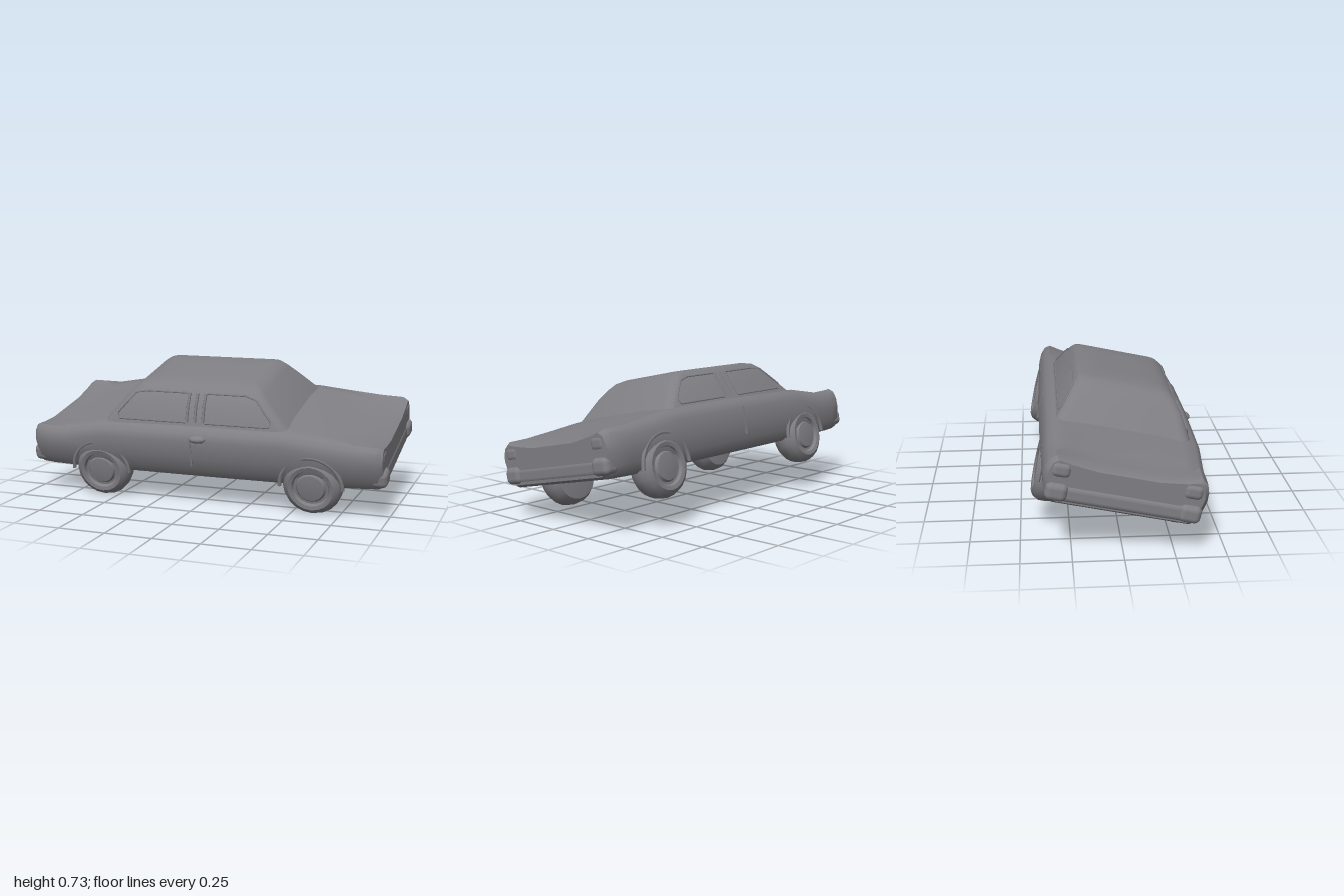
import * as THREE from 'three';
import { toCreasedNormals } from 'three/addons/utils/BufferGeometryUtils.js';
import { RoundedBoxGeometry } from 'three/addons/geometries/RoundedBoxGeometry.js';

const grey = new THREE.MeshStandardMaterial({ color: 0x7f7e83 });
grey.name = 'body grey';

function add(parent, name, geometry, x = 0, y = 0, z = 0) {
  const mesh = new THREE.Mesh(geometry, grey);
  mesh.name = name;
  mesh.position.set(x, y, z);
  parent.add(mesh);
  return mesh;
}

// Skin a list of equal-length closed rings and cap both ends.
function loft(rings, crease) {
  const n = rings[0].length;
  const pos = rings.flat(2);
  const idx = [];
  for (let i = 0; i < rings.length - 1; i++) {
    for (let j = 0; j < n; j++) {
      const a = i * n + j, b = i * n + (j + 1) % n;
      idx.push(a, b, b + n, a, b + n, a + n);
    }
  }
  [0, rings.length - 1].forEach((r, end) => {
    const ring = rings[r];
    const c = pos.length / 3;
    for (let k = 0; k < 3; k++) pos.push(ring.reduce((s, p) => s + p[k], 0) / n);
    for (let j = 0; j < n; j++) {
      const a = r * n + j, b = r * n + (j + 1) % n;
      if (end) idx.push(a, b, c); else idx.push(b, a, c);
    }
  });
  const g = new THREE.BufferGeometry();
  g.setAttribute('position', new THREE.Float32BufferAttribute(pos, 3));
  g.setIndex(idx);
  return toCreasedNormals(g, crease);
}

// Lower body: [x, bottom, deck edge height, dip of the deck centre, half width]
function bodyGeometry() {
  const stations = [
    [-0.972, 0.02, 0.228, 0.03, 0.38], [-0.95, 0.006, 0.243, 0.035, 0.398],
    [-0.88, 0.002, 0.24, 0.025, 0.403], [-0.78, 0, 0.238, 0.01, 0.405],
    [-0.55, 0, 0.277, -0.008, 0.41], [0, 0, 0.285, 0, 0.414],
    [0.47, 0, 0.283, -0.012, 0.41], [0.65, 0, 0.264, -0.003, 0.407],
    [0.83, 0.002, 0.247, 0.018, 0.404], [0.95, 0.006, 0.243, 0.035, 0.398],
    [0.978, 0.02, 0.23, 0.035, 0.382],
  ];
  return loft(stations.map(([x, b, t, dip, w]) => {
    const half = [
      [0.5 * w, b], [0.84 * w, b], [0.91 * w, b + 0.015], [0.96 * w, b + 0.06],
      [w, b + 0.13], [0.995 * w, t - 0.06], [0.96 * w, t - 0.02], [0.89 * w, t],
      [0.72 * w, t - dip * 0.4], [0.4 * w, t - dip * 0.9],
    ];
    const ring = [...half, ...half.slice().reverse().map(([z, y]) => [-z, y])];
    return ring.map(([z, y]) => [x, y, z]).reverse();
  }), 0.7);
}

// Cabin levels upward: [y, rear x, front x, half width, sideways offset]
const cabinLevels = [
  [0.22, -0.61, 0.53, 0.367, -0.003], [0.285, -0.55, 0.478, 0.346, -0.005],
  [0.385, -0.46, 0.38, 0.3, -0.009], [0.435, -0.41, 0.327, 0.268, -0.019],
  [0.46, -0.375, 0.298, 0.242, -0.028], [0.472, -0.32, 0.25, 0.205, -0.032],
  [0.475, -0.2, 0.15, 0.1, -0.03],
];

function cabinGeometry() {
  const r = 0.05;
  return loft(cabinLevels.map(([y, x0, x1, w, off]) => {
    const ring = [];
    const corners = [[x1 - r, w - r], [x0 + r, w - r], [x0 + r, r - w], [x1 - r, r - w]];
    corners.forEach(([cx, cz], q) => {
      for (let k = 0; k <= 3; k++) {
        const a = (q + k / 3) * Math.PI / 2;
        ring.push([cx + r * Math.cos(a), y, off + cz + r * Math.sin(a)]);
      }
    });
    return ring.reverse();
  }), 0.6);
}

// Point on the cabin side at a given x and height.
function sidePoint(x, y, side) {
  const i = cabinLevels.findIndex((l) => l[0] >= y);
  const a = cabinLevels[i - 1], b = cabinLevels[i];
  const t = (y - a[0]) / (b[0] - a[0]);
  const at = (k) => THREE.MathUtils.lerp(a[k], b[k], t);
  return new THREE.Vector3(x, y, at(4) + side * at(3));
}

// Thin bead following the cabin side through [x, y] points.
function addBead(car, name, points, side, radius) {
  const path = new THREE.CurvePath();
  for (let i = 1; i < points.length; i++) {
    path.add(new THREE.LineCurve3(sidePoint(...points[i - 1], side), sidePoint(...points[i], side)));
  }
  add(car, name, new THREE.TubeGeometry(path, 12, radius, 6));
}

// Tyre with a recessed rim and a domed hub.
function wheelGeometry() {
  const profile = [
    [0, -0.072], [0.1, -0.072], [0.128, -0.068], [0.15, -0.04], [0.158, -0.005],
    [0.157, 0.03], [0.142, 0.06], [0.12, 0.074], [0.1, 0.07], [0.092, 0.054],
    [0.08, 0.054], [0.07, 0.066], [0.04, 0.07], [0, 0.07],
  ].map(([r, y]) => new THREE.Vector2(r, y));
  return toCreasedNormals(new THREE.LatheGeometry(profile, 20).rotateX(Math.PI / 2), 0.6);
}

export function createModel() {
  const model = new THREE.Group();
  model.name = 'saloonCar';
  const car = new THREE.Group();
  car.name = 'leaningCar';
  model.add(car);

  add(car, 'lowerBody', bodyGeometry());
  add(car, 'cabin', cabinGeometry());

  // Bumpers and corner lamps at both ends
  for (const end of [-1, 1]) {
    add(car, 'bumper', new RoundedBoxGeometry(0.08, 0.09, 0.72, 3, 0.03), end * 0.942, 0.065, 0);
    for (const side of [-1, 1]) {
      add(car, 'bumperCorner', new RoundedBoxGeometry(0.09, 0.09, 0.11, 3, 0.03), end * 0.953, 0.07, side * 0.325);
      add(car, 'cornerLamp', new RoundedBoxGeometry(0.08, 0.08, 0.1, 3, 0.03), end * 0.943, 0.18, side * 0.32);
    }
  }

  for (const side of [-1, 1]) {
    // Window surrounds and ribbed centre pillar
    addBead(car, 'rearWindowFrame', [[-0.08, 0.435], [-0.37, 0.435], [-0.42, 0.385], [-0.5, 0.3], [-0.08, 0.3]], side, 0.005);
    addBead(car, 'frontWindowFrame', [[0.03, 0.435], [0.285, 0.435], [0.335, 0.385], [0.415, 0.3], [0.03, 0.3]], side, 0.005);
    for (const x of [-0.07, -0.025, 0.02]) {
      addBead(car, 'centrePillarRib', [[x, 0.3], [x, 0.385], [x, 0.435]], side, 0.008);
    }
    // Wheels and arch lips
    for (const x of [-0.575, 0.61]) {
      const wheel = add(car, 'wheel', wheelGeometry(), x, 0.011, side * 0.338);
      if (side < 0) wheel.rotation.y = Math.PI;
      add(car, 'wheelArch', new THREE.TorusGeometry(0.166, 0.011, 6, 20, Math.PI), x, 0.011, side * 0.398);
    }
    // Door seam
    add(car, 'doorSeam', new THREE.BoxGeometry(0.01, 0.15, 0.008), -0.03, 0.16, side * 0.411);
  }
  const mirror = add(car, 'doorMirror', new THREE.SphereGeometry(1, 10, 8), 0.01, 0.238, 0.402);
  mirror.scale.set(0.05, 0.02, 0.03);

  // The whole car leans toward its left side and rests on those wheels
  car.rotation.x = 0.21;
  car.position.set(0, 0.225, -0.018);
  model.updateMatrixWorld(true);
  car.position.y -= new THREE.Box3().setFromObject(car, true).min.y;
  return model;
}
